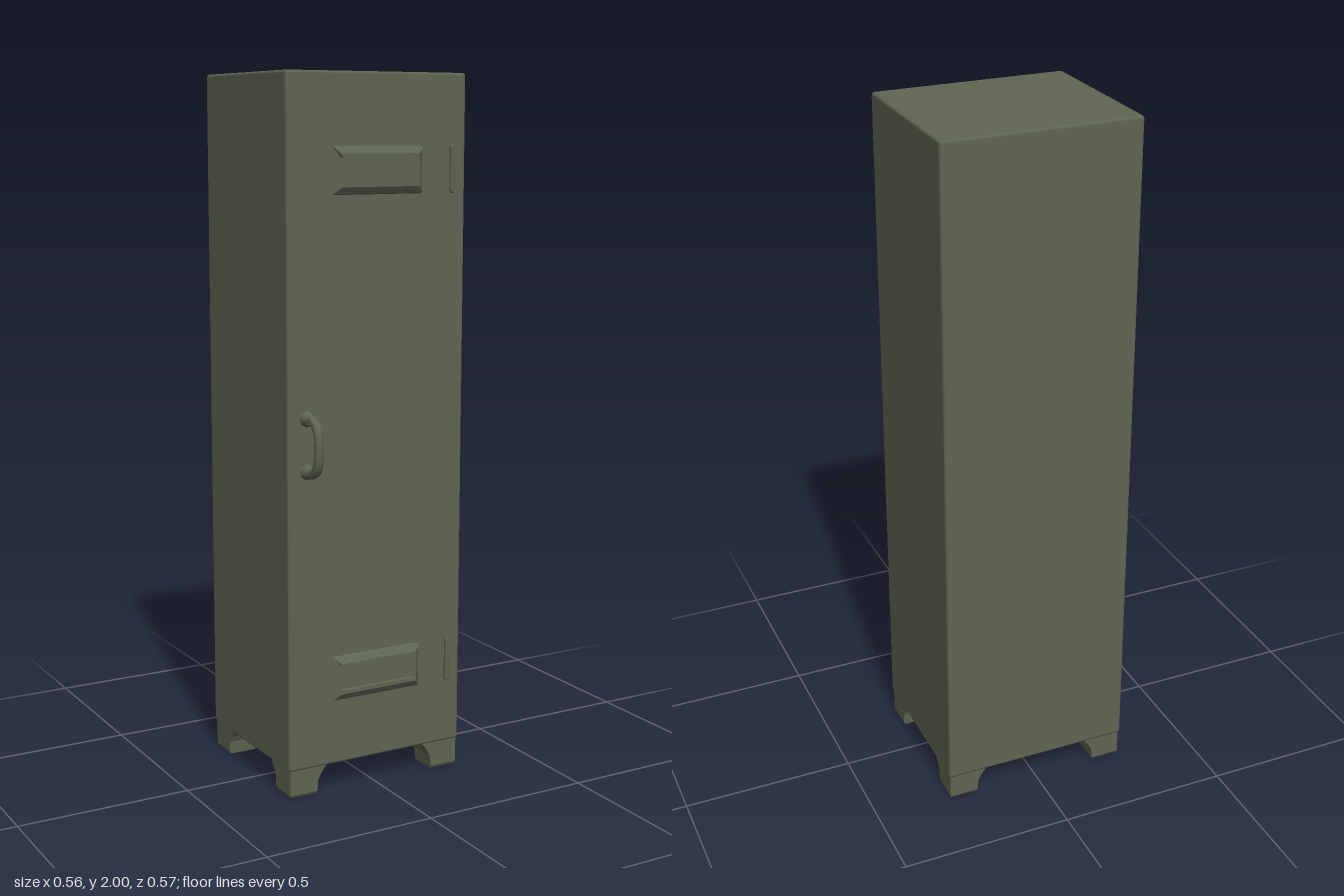
import * as THREE from 'three';
import { RoundedBoxGeometry } from 'three/addons/geometries/RoundedBoxGeometry.js';
import { ConvexGeometry } from 'three/addons/geometries/ConvexGeometry.js';

const FRONT = 0.205, BACK = -0.285, HALF = 0.28, FOOT_TOP = 0.08;

// Foot with straight outer corner and inner sides that flare up to the body
function footGeometry(sx, sz) {
  const heights = [0, 0.008, 0.04, 0.058, 0.085];
  const sizes = [0.08, 0.086, 0.089, 0.098, 0.118];
  const geo = new THREE.BoxGeometry(1, 1, 1, 1, 4, 1).toNonIndexed();
  const p = geo.attributes.position;
  for (let i = 0; i < p.count; i++) {
    const row = Math.round((p.getY(i) + 0.5) * 4);
    const inset = (0.5 - p.getX(i) * sx) * sizes[row] + (row ? 0 : 0.005);
    const depth = (0.5 - p.getZ(i) * sz) * sizes[row] + (row ? 0 : 0.005);
    const edgeZ = sz > 0 ? FRONT - 0.005 : BACK + 0.007;
    p.setXYZ(i, sx * (HALF - 0.005 - inset), heights[row], edgeZ - sz * depth);
  }
  geo.computeVertexNormals();
  return geo;
}

// Pressed vent hood: sloped face with mitred ends, s flips it vertically
function hoodGeometry(s) {
  const points = [];
  for (const x of [-1, 1]) {
    points.push(
      new THREE.Vector3(x * 0.142, s * 0.066, -0.003),
      new THREE.Vector3(x * 0.14, s * 0.062, 0.005),
      new THREE.Vector3(x * 0.122, s * 0.044, 0.017),
      new THREE.Vector3(x * 0.118, s * 0.034, 0.017),
      new THREE.Vector3(x * 0.114, s * 0.034, -0.003));
  }
  return new ConvexGeometry(points);
}

export function createModel() {
  const model = new THREE.Group();
  const paint = new THREE.MeshStandardMaterial({ color: 0x5f6552 });
  paint.name = 'olive paint';
  const add = (name, geo, x = 0, y = 0, z = 0, parent = model) => {
    const mesh = new THREE.Mesh(geo, paint);
    mesh.name = name;
    mesh.position.set(x, y, z);
    parent.add(mesh);
    return mesh;
  };

  // Cabinet body
  add('body', new RoundedBoxGeometry(HALF * 2, 2 - FOOT_TOP, FRONT - BACK, 1, 0.008),
    0, (2 + FOOT_TOP) / 2, (FRONT + BACK) / 2);

  // Four feet
  for (const sx of [-1, 1])
    for (const sz of [-1, 1])
      add((sz > 0 ? 'front' : 'back') + (sx > 0 ? 'Left' : 'Right') + 'Foot', footGeometry(sx, sz));

  // Vents and hinges, top and bottom of the door
  for (const [label, y] of [['upper', 1.74], ['lower', 0.332]]) {
    const vent = new THREE.Group();
    vent.name = label + 'Vent';
    vent.position.set(0, y, FRONT);
    model.add(vent);
    for (const s of [-1, 1])
      add(s > 0 ? 'topHood' : 'bottomHood', hoodGeometry(s), 0, 0, 0, vent);
    add('ventEdge', new THREE.BoxGeometry(0.008, 0.13, 0.01), 0.138, 0, 0.001, vent);
    add(label + 'Hinge', new THREE.CapsuleGeometry(0.007, 0.118, 2, 8), 0.233, y, FRONT + 0.005);
  }

  // Door handle: bent grip with a collar at each end
  const handle = new THREE.Group();
  handle.name = 'handle';
  handle.position.set(-0.221, 1.005, FRONT);
  model.add(handle);
  const path = new THREE.CatmullRomCurve3([
    [0.075, -0.005], [0.075, 0.025], [0.062, 0.053], [0.035, 0.066],
    [-0.035, 0.066], [-0.062, 0.053], [-0.075, 0.025], [-0.075, -0.005],
  ].map(([y, z]) => new THREE.Vector3(0, y, z)));
  add('grip', new THREE.TubeGeometry(path, 24, 0.014, 8), 0, 0, 0, handle);
  for (const s of [-1, 1]) {
    const collar = add('collar', new THREE.CylinderGeometry(0.015, 0.023, 0.026, 8), 0, s * 0.073, 0.011, handle);
    collar.rotation.x = Math.PI / 2;
  }
  return model;
}
